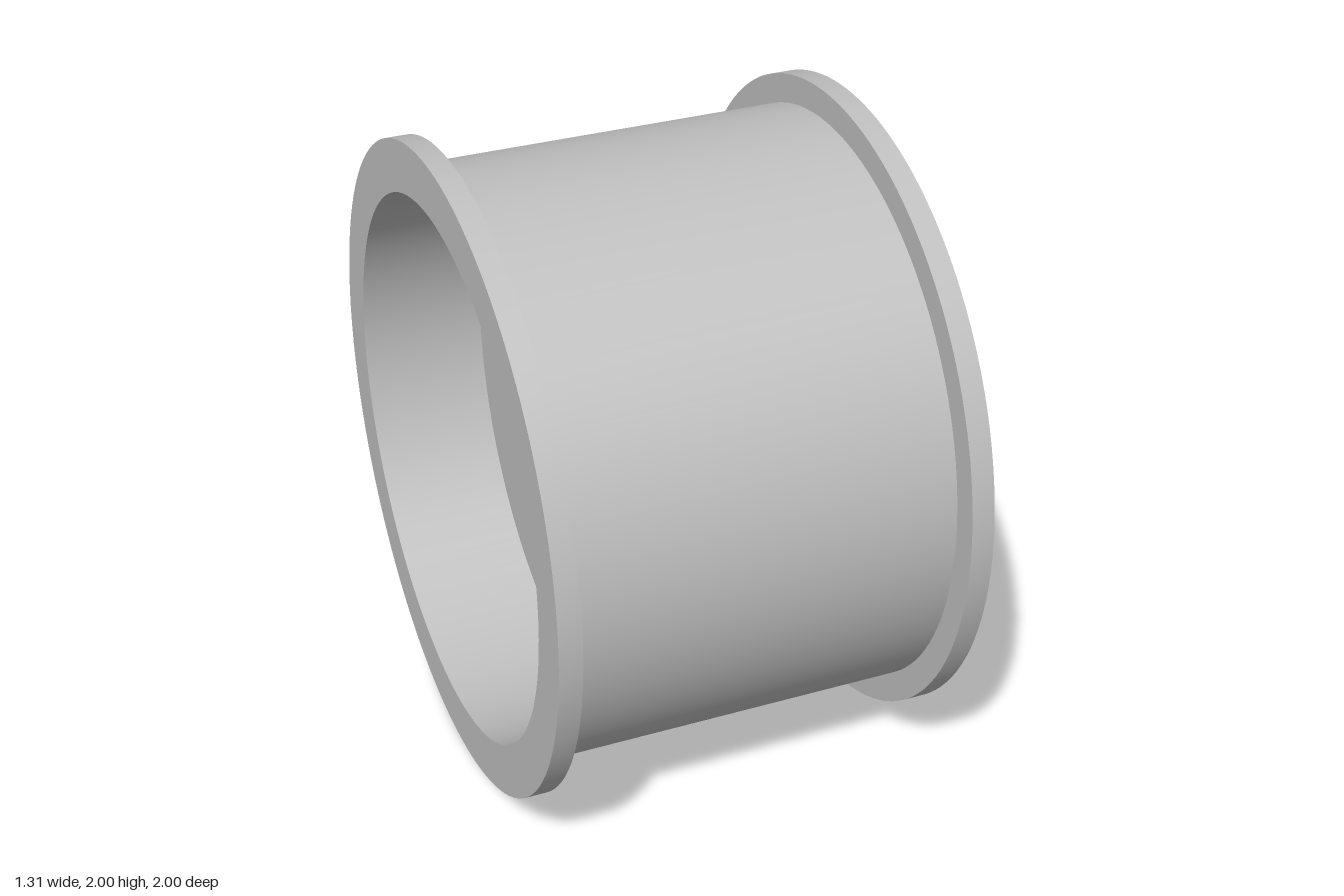
import * as THREE from 'three';
import { toCreasedNormals } from 'three/addons/utils/BufferGeometryUtils.js';

const steel = new THREE.MeshStandardMaterial({ color: 0xc0c0c0 });
steel.name = 'grey steel';

function add(parent, name, geometry) {
  const mesh = new THREE.Mesh(geometry, steel);
  mesh.name = name;
  parent.add(mesh);
  return mesh;
}

// Turned part around the x axis; profile points are [radius, x]
function turned(profile, segments = 128) {
  const points = profile.map(([r, x]) => new THREE.Vector2(r, x));
  const geometry = new THREE.LatheGeometry(points, segments);
  geometry.rotateZ(-Math.PI / 2);
  return toCreasedNormals(geometry, 0.5);
}

// Solid pin along x, centred on height y
function pin(radius, x0, x1, y) {
  const geometry = new THREE.CylinderGeometry(radius, radius, x1 - x0, 32);
  geometry.rotateZ(-Math.PI / 2);
  return geometry.translate((x0 + x1) / 2, y, 0);
}

// Flat shape in the wheel plane, extruded along x
function plate(shape, x0, x1) {
  const geometry = new THREE.ExtrudeGeometry(shape, { depth: x1 - x0, bevelEnabled: false, curveSegments: 16 });
  geometry.rotateY(Math.PI / 2);
  return toCreasedNormals(geometry.translate(x0, 0, 0), 0.5);
}

export function createModel() {
  const model = new THREE.Group();
  model.name = 'wheel';
  const wheel = new THREE.Group();
  wheel.name = 'wheelBody';
  wheel.position.y = 1;
  model.add(wheel);

  // Rim barrel with a flange at each end
  add(wheel, 'rim', turned([
    [0.84, -0.655], [1, -0.655], [1, -0.585], [0.91, -0.585], [0.91, 0.585],
    [1, 0.585], [1, 0.655], [0.84, 0.655], [0.84, -0.655],
  ]));

  // Web disc with a shallow recess on the hub side
  add(wheel, 'disc', turned([
    [0, -0.26], [0.84, -0.26], [0.84, 0.17], [0.62, 0.17], [0.62, 0.115], [0, 0.115],
  ]));

  // Tapered hub with a stepped, sunken end
  add(wheel, 'hub', turned([
    [0.315, 0.11], [0.3, 0.515], [0.27, 0.515], [0.27, 0.49], [0.24, 0.49], [0.24, 0.45], [0, 0.45],
  ]));

  // Round-topped key inside the hub end
  const key = new THREE.Shape();
  key.moveTo(-0.035, -0.245);
  key.lineTo(0.035, -0.245);
  key.lineTo(0.035, -0.165);
  key.absarc(0, -0.165, 0.035, 0, Math.PI, false);
  key.closePath();
  add(wheel, 'hubKey', plate(key, 0.44, 0.49));

  // Ring of small bolts around the hub
  const hubBolt = pin(0.037, 0.1, 0.165, 0.38);
  for (let i = 0; i < 12; i++) {
    add(wheel, 'hubBolt', hubBolt).rotation.x = (i * Math.PI) / 6;
  }

  // Six wedge-shaped clamps, each with a bolt
  const wedge = new THREE.Shape([
    new THREE.Vector2(-0.073, 0.65), new THREE.Vector2(0.073, 0.65),
    new THREE.Vector2(0.088, 0.845), new THREE.Vector2(-0.088, 0.845),
  ]);
  const clampBlock = plate(wedge, 0.16, 0.29);
  const clampBolt = pin(0.053, 0.28, 0.345, 0.727);
  for (let i = 0; i < 6; i++) {
    const clamp = new THREE.Group();
    clamp.name = 'rimClamp';
    clamp.rotation.x = (i * Math.PI) / 3;
    add(clamp, 'clampBlock', clampBlock);
    add(clamp, 'clampBolt', clampBolt);
    wheel.add(clamp);
  }

  // Drilled boss on the back of the disc
  add(wheel, 'rearBoss', turned([
    [0, -0.265], [0.045, -0.265], [0.045, -0.33], [0.11, -0.33], [0.11, -0.25],
  ], 64));

  return model;
}
